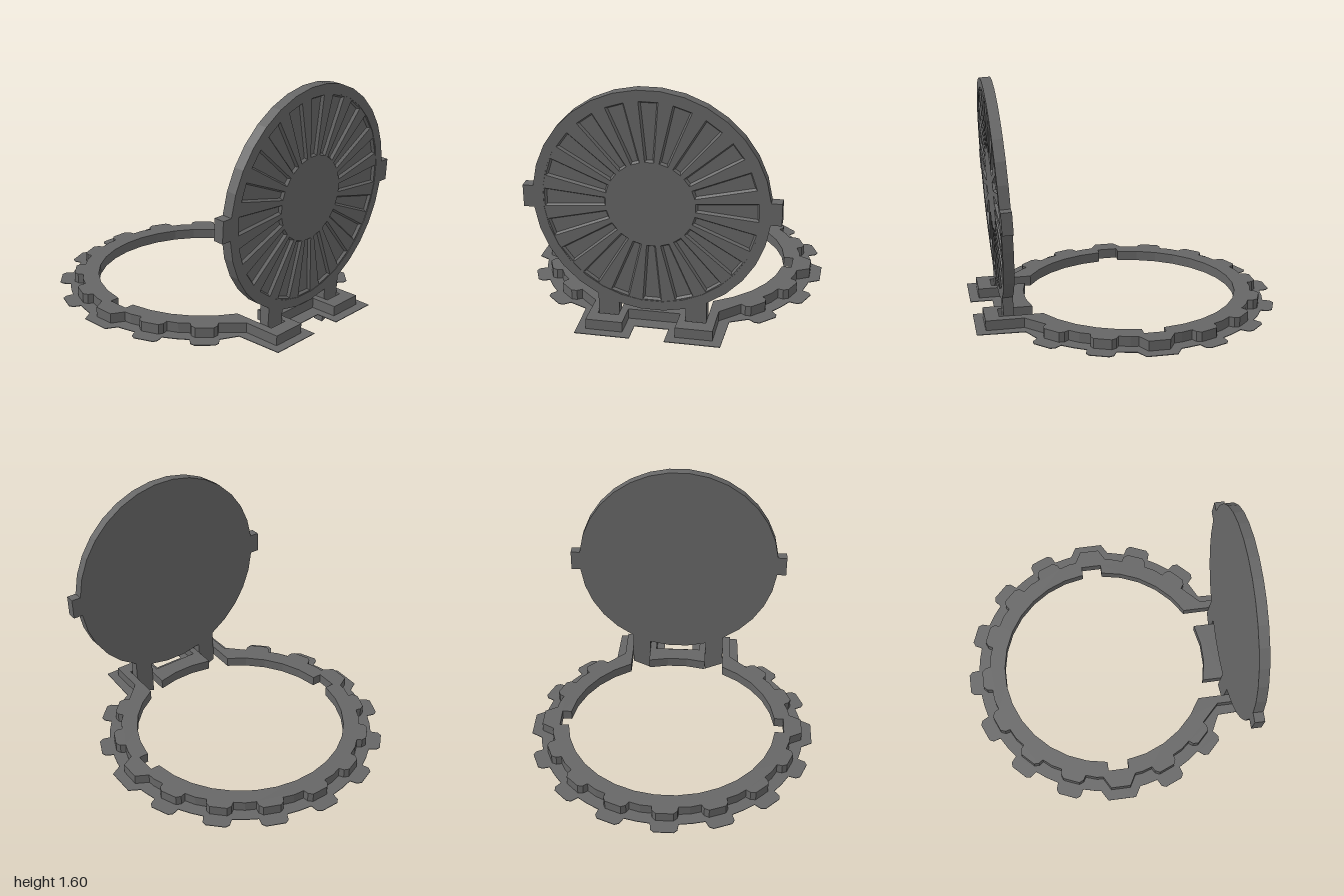
import * as THREE from 'three';

const STEP = Math.PI / 16; // 32-sided circles
const RING_Z = -0.045;

// Mirror a right-hand half outline (top to bottom) into a closed counter-clockwise one
const mirror = half => [...half.map(([x, y]) => [-x, y]), ...half.slice().reverse()];
const toPoints = list => list.map(([x, y]) => new THREE.Vector2(x, y));

// Plain 32-gon
const circle = r => toPoints(Array.from({ length: 32 }, (_, j) =>
  [r * Math.cos((j + 0.5) * STEP), r * Math.sin((j + 0.5) * STEP)]));

// 32-gon whose side segment and lower segment are pushed outward
function notchedCircle(r, sideX, legOuterY, legInnerY) {
  const half = [];
  for (let j = 0; j < 16; j++) {
    const a = (j + 0.5) * STEP;
    const p = [r * Math.sin(a), r * Math.cos(a)];
    if (j === 8) half.push([sideX, p[1]]);
    if (j === 14) half.push([p[0], legInnerY]);
    half.push(p);
    if (j === 7) half.push([sideX, p[1]]);
    if (j === 13) half.push([p[0], legOuterY]);
  }
  return toPoints(mirror(half));
}

// Cogged outline; tooth profiles are [half width, radius] from root to tip
function coggedOutline(gapR, tooth, sideTooth, frontTab) {
  const half = [];
  for (let k = 0; k <= 6; k++) {
    const a = k * 2 * STEP, s = Math.sin(a), c = Math.cos(a);
    const profile = k === 4 ? sideTooth : tooth;
    const local = profile.map(([t, r]) => [-t, r])
      .concat(profile.slice().reverse());
    for (const [t, r] of local) {
      if (k === 0 && t < 0) continue;
      half.push([r * s + t * c, r * c - t * s]);
    }
    if (k < 6) half.push([gapR * Math.sin(a + STEP), gapR * Math.cos(a + STEP)]);
  }
  return toPoints(mirror([...half, ...frontTab]));
}

function extrude(name, outline, holes, options, material) {
  const shape = new THREE.Shape(outline);
  for (const h of holes) shape.holes.push(new THREE.Path(h));
  const geometry = new THREE.ExtrudeGeometry(shape, { bevelEnabled: false, ...options });
  const mesh = new THREE.Mesh(geometry, material);
  mesh.name = name;
  return mesh;
}

export function createModel() {
  const model = new THREE.Group();
  model.name = 'hingedHatch';
  const metal = new THREE.MeshStandardMaterial({ color: 0x666666 });
  metal.name = 'dark grey metal';

  // Ring lying flat, with lock notches at the sides and hinge slots in front
  const ring = new THREE.Group();
  ring.name = 'ring';
  const opening = notchedCircle(0.702, 0.76, -0.895, -0.895);
  const skirt = coggedOutline(0.89,
    [[0.09, 0.885], [0.085, 0.935], [0.062, 0.957]],
    [[0.135, 0.88], [0.095, 0.95]],
    [[0.45, -0.745], [0.44, -1.045], [0.105, -1.045], [0.105, -0.9]]);
  const body = coggedOutline(0.81,
    [[0.085, 0.8], [0.08, 0.835], [0.056, 0.86]],
    [[0.11, 0.8], [0.066, 0.88]],
    [[0.385, -0.745], [0.385, -0.985], [0.16, -0.985], [0.16, -0.815]]);
  ring.add(extrude('ringSkirt', skirt, [opening], { depth: 0.004 }, metal));
  ring.add(extrude('ringBody', body, [opening], { depth: 0.068 }, metal));
  ring.rotation.x = -Math.PI / 2;
  ring.position.set(0, 0.097, RING_Z);
  model.add(ring);

  // Open lid with side lugs and two hinge arms, leaning slightly forward
  const lid = new THREE.Group();
  lid.name = 'lid';
  const lidOutline = notchedCircle(0.7, 0.76, -0.85, -0.903);
  const back = extrude('lidPlate', lidOutline, [], { depth: 0.046 }, metal);
  back.position.z = -0.033;
  const rim = extrude('lidRim', lidOutline, [circle(0.64)], { depth: 0.02 }, metal);
  rim.position.z = 0.013;

  // Face inside the rim, with twenty grooves whose walls slope inward
  const grooves = [];
  for (let i = 0; i < 20; i++) {
    const a = i * Math.PI / 10, s = Math.sin(a), c = Math.cos(a);
    grooves.push(toPoints([[-0.027, 0.265], [0.027, 0.265], [0.057, 0.63], [-0.057, 0.63]]
      .map(([t, r]) => [r * s + t * c, r * c - t * s])));
  }
  const face = extrude('lidGroovedFace', circle(0.64), grooves, {
    depth: 0.002, bevelEnabled: true, bevelThickness: 0.015, bevelSize: 0.01, bevelSegments: 1,
  }, metal);
  face.position.z = 0.013;
  lid.add(back, rim, face);
  lid.rotation.x = THREE.MathUtils.degToRad(2.6);
  lid.position.set(0, 0.905, 0.823);
  model.add(lid);

  return model;
}
